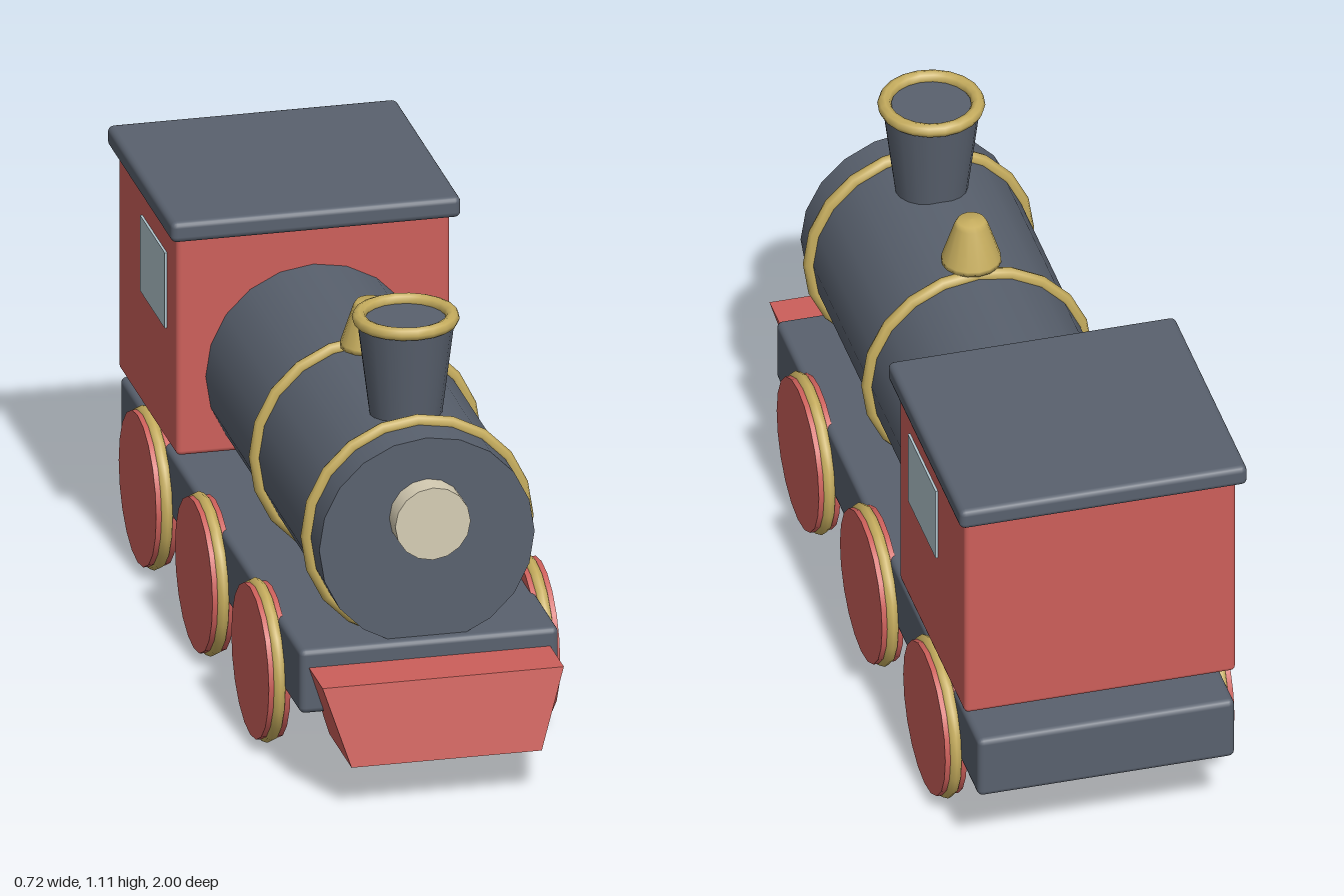
import * as THREE from 'three';
import { RoundedBoxGeometry } from 'three/addons/geometries/RoundedBoxGeometry.js';

const material = (name, color) => Object.assign(new THREE.MeshStandardMaterial({ color }), { name });

export function createModel() {
  const model = new THREE.Group();
  model.name = 'toySteamLocomotive';

  const slate = material('slate', 0x59616e);
  const red = material('red', 0xcc5f5a);
  const gold = material('gold', 0xc6ad5e);
  const cream = material('cream', 0xd6cdb4);
  const glass = material('glass', 0xb2c6ce);

  const add = (name, geometry, mat, x, y, z, parent = model) => {
    const mesh = new THREE.Mesh(geometry, mat);
    mesh.name = name;
    mesh.position.set(x, y, z);
    parent.add(mesh);
    return mesh;
  };
  const roundedBox = (w, h, d, r) => new RoundedBoxGeometry(w, h, d, 2, r);
  const cylinderZ = (r, length, sides) => new THREE.CylinderGeometry(r, r, length, sides).rotateX(Math.PI / 2);

  // Chassis, cab and roof
  add('chassis', roundedBox(0.64, 0.165, 1.825, 0.015), slate, 0, 0.2725, -0.085);
  add('cab', roundedBox(0.675, 0.57, 0.59, 0.012), red, 0, 0.685, -0.645);
  add('roof', roundedBox(0.716, 0.053, 0.66, 0.015), slate, 0, 0.991, -0.645);

  // Boiler with its two bands and the headlamp
  add('boiler', cylinderZ(0.266, 1.21, 20), slate, 0, 0.6, 0.195);
  for (const z of [0.7, 0.175]) {
    add('boilerBand', new THREE.TorusGeometry(0.271, 0.017, 8, 20).rotateZ(Math.PI / 2), gold, 0, 0.6, z);
  }
  add('headlamp', cylinderZ(0.093, 0.07, 16), cream, 0, 0.667, 0.826);

  // Chimney and rim
  add('chimney', new THREE.CylinderGeometry(0.118, 0.088, 0.24, 20), slate, 0, 0.97, 0.585);
  add('chimneyRim', new THREE.TorusGeometry(0.113, 0.017, 8, 20).rotateX(Math.PI / 2), gold, 0, 1.095, 0.585);

  // Steam dome
  const domeProfile = [[0, 0.88], [0.073, 0.88], [0.072, 0.892], [0.041, 0.985], [0.034, 0.997], [0, 1.0]]
    .map(([r, y]) => new THREE.Vector2(r, y));
  add('steamDome', new THREE.LatheGeometry(domeProfile, 16), gold, 0, 0, 0.225);

  // Front guard: wide at the top, narrow and further forward at the bottom
  const guard = new THREE.BoxGeometry(2, 2, 2);
  const p = guard.attributes.position;
  for (let i = 0; i < p.count; i++) {
    const top = p.getY(i) > 0, front = p.getZ(i) > 0;
    p.setXYZ(i,
      p.getX(i) * (top ? 0.298 : 0.235),
      top ? 0.31 : 0.113,
      front ? (top ? 0.965 : 1.0) : (top ? 0.8 : 0.775));
  }
  guard.computeVertexNormals();
  add('frontGuard', guard, red, 0, 0, 0);

  // Left and right sides: window and three wheels each
  for (const side of [1, -1]) {
    add('cabWindow', new THREE.BoxGeometry(0.009, 0.195, 0.25), glass, side * 0.339, 0.792, -0.572);
    for (const z of [0.485, -0.085, -0.655]) {
      const wheel = new THREE.Group();
      wheel.name = 'wheel';
      wheel.position.set(side * 0.333, 0.2, z);
      model.add(wheel);
      add('wheelDisc', new THREE.CylinderGeometry(0.19, 0.19, 0.054, 20).rotateZ(Math.PI / 2), red, 0, 0, 0, wheel);
      add('wheelTyre', new THREE.TorusGeometry(0.183, 0.017, 8, 20).rotateY(Math.PI / 2), gold, 0, 0, 0, wheel);
    }
  }

  return model;
}
